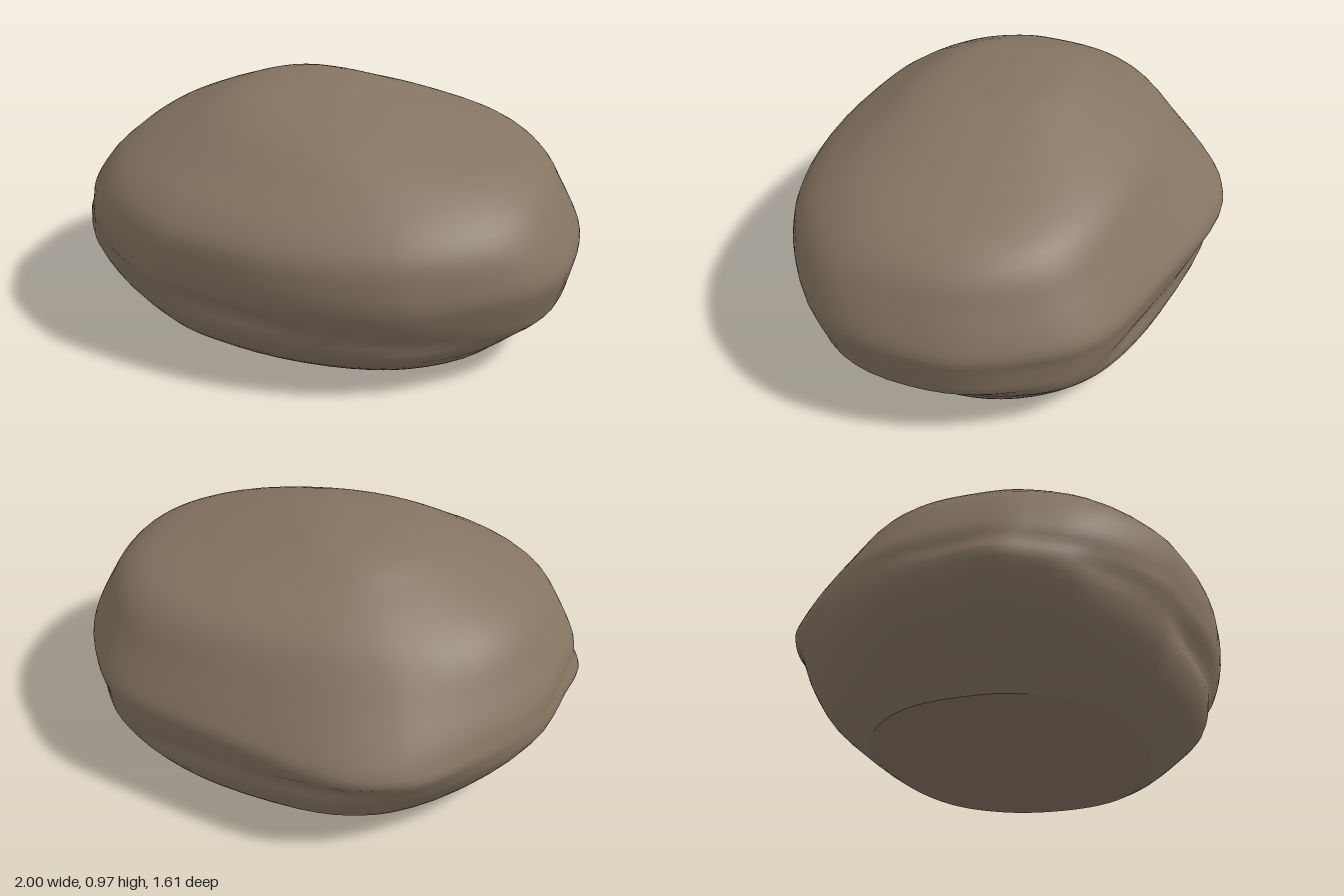
import * as THREE from 'three';
import { mergeVertices } from 'three/addons/utils/BufferGeometryUtils.js';

// Widest plan outline as [x, z], running +x, +z, -x, -z
const OUTLINE = [
  [1, 0], [0.98, 0.28], [0.87, 0.49], [0.6, 0.69], [0.38, 0.77], [0, 0.8],
  [-0.38, 0.73], [-0.56, 0.68], [-0.84, 0.48], [-0.95, 0.29], [-1, 0.16], [-0.97, 0],
  [-0.92, -0.24], [-0.79, -0.46], [-0.58, -0.68], [-0.42, -0.77], [-0.18, -0.8],
  [0.25, -0.7], [0.57, -0.61], [0.72, -0.53], [0.82, -0.42], [0.95, -0.2],
];

// Reach at each height: [y, +x, -x, +z, -z]
const LEVELS = [
  [0, 0.7, 0.64, 0.51, 0.54],
  [0.04, 0.76, 0.69, 0.58, 0.6],
  [0.12, 0.83, 0.78, 0.68, 0.69],
  [0.21, 0.95, 0.89, 0.74, 0.74],
  [0.29, 0.97, 0.96, 0.76, 0.77],
  [0.37, 0.99, 1.01, 0.79, 0.8],
  [0.43, 1, 0.98, 0.8, 0.79],
  [0.5, 0.98, 0.96, 0.8, 0.74],
  [0.6, 0.93, 0.9, 0.78, 0.66],
  [0.69, 0.87, 0.83, 0.7, 0.59],
  [0.77, 0.75, 0.72, 0.59, 0.52],
  [0.84, 0.53, 0.58, 0.49, 0.42],
  [0.89, 0.36, 0.47, 0.4, 0.32],
  [0.93, 0.2, 0.36, 0.28, 0.24],
  [0.96, 0.06, 0.22, 0.08, 0.16],
];
const SIDES = 72, RINGS = 42;

function spline(points, closed = false) {
  return new THREE.CatmullRomCurve3(points.map(p => new THREE.Vector3(...p)), closed, 'catmullrom', 0.5);
}

function boulderRings() {
  const plan = spline(OUTLINE.map(([x, z]) => [x, 0, z / 0.8]), true);
  const reachX = spline(LEVELS.map(([y, px, nx]) => [px, y, nx]));
  const reachZ = spline(LEVELS.map(([y, , , pz, nz]) => [pz, y, nz]));
  const rings = [];
  for (let r = 0; r <= RINGS; r++) {
    const rx = reachX.getPoint(r / RINGS), rz = reachZ.getPoint(r / RINGS);
    const y = rx.y;
    // Away from the waist the outline eases into a rounded, fuller oval
    const round = 0.8 * Math.min(1, Math.abs(y - 0.36) / 0.36);
    const ring = [];
    for (let i = 0; i < SIDES; i++) {
      const p = plan.getPoint(i / SIDES);
      const oval = (Math.abs(p.x) ** 2.3 + Math.abs(p.z) ** 2.3) ** (-1 / 2.3);
      p.multiplyScalar(1 + round * (oval - 1));
      let x = (rx.x - rx.z) / 2 + p.x * (rx.x + rx.z) / 2;
      let z = (rz.x - rz.z) / 2 + p.z * (rz.x + rz.z) / 2;
      // Slanting crease around the lower body, with gentle unevenness
      const crease = Math.exp(-(((y - 0.29 + 0.1 * p.x) / 0.045) ** 2));
      const lumps = Math.sin(5 * x + 7 * y) * Math.sin(6 * z - 4 * y + 1);
      const k = 1 - crease * (0.022 + 0.012 * Math.sin(9 * x + 4 * z))
        + 0.005 * lumps * Math.min(1, y * 5);
      x *= k;
      z *= k;
      ring.push([x, y, z]);
    }
    rings.push(ring);
  }
  return rings;
}

// Smooth skin from the base edge to the crown
function bodyGeometry(rings) {
  const pos = rings.flat(2), index = [];
  const top = rings.length * SIDES;
  pos.push(-0.08, 0.968, -0.05);
  for (let r = 0; r < rings.length; r++) {
    for (let i = 0; i < SIDES; i++) {
      const j = (i + 1) % SIDES;
      const a = r * SIDES + i, b = r * SIDES + j;
      if (r === rings.length - 1) index.push(a, top, b);
      else index.push(a, a + SIDES, b, b, a + SIDES, b + SIDES);
    }
  }
  return finish(pos, index);
}

// Flat underside
function baseGeometry(ring) {
  const pos = [...ring.flat(), 0, 0, 0], index = [];
  for (let i = 0; i < SIDES; i++) index.push(i, (i + 1) % SIDES, SIDES);
  return finish(pos, index);
}

function finish(pos, index) {
  let g = new THREE.BufferGeometry();
  g.setAttribute('position', new THREE.Float32BufferAttribute(pos, 3));
  g.setIndex(index);
  g = mergeVertices(g);
  g.computeVertexNormals();
  return g;
}

export function createModel() {
  const group = new THREE.Group();
  group.name = 'boulder';
  const stone = new THREE.MeshStandardMaterial({ color: 0x857462 });
  stone.name = 'brown stone';
  const rings = boulderRings();
  const body = new THREE.Mesh(bodyGeometry(rings), stone);
  body.name = 'boulderBody';
  const base = new THREE.Mesh(baseGeometry(rings[0]), stone);
  base.name = 'boulderBase';
  group.add(body, base);
  return group;
}
